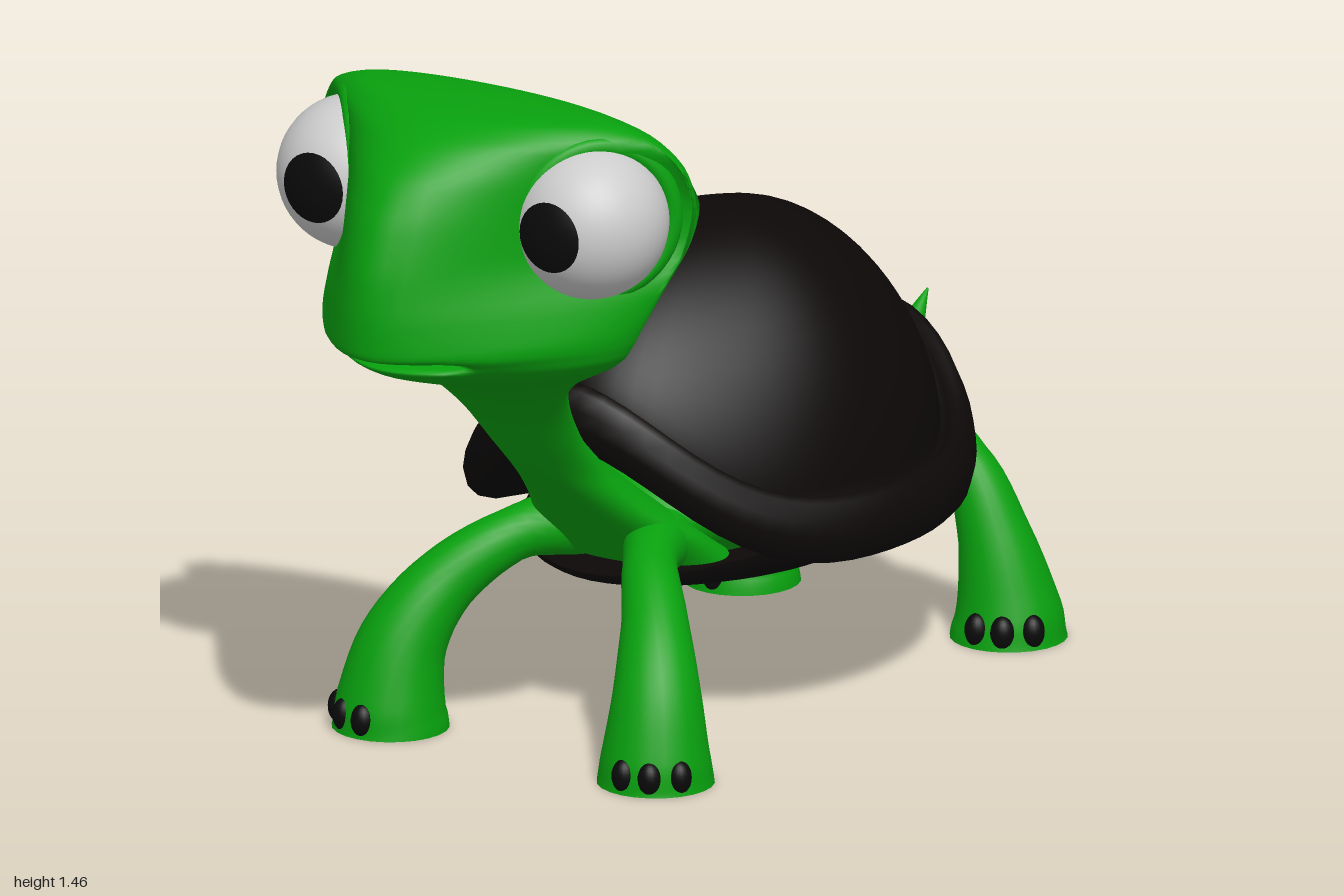
import * as THREE from 'three';

const mat = (color, side = THREE.FrontSide) => new THREE.MeshStandardMaterial({ color, side });
const green = mat(0x08a00e);
const shellMat = mat(0x0c0807, THREE.DoubleSide);
const black = mat(0x0a0a0a);
const eyeMat = mat(0xcccccc);
const V = (x, y, z) => new THREE.Vector3(x, y, z);
const { lerp } = THREE.MathUtils;

// Skin a list of closed rings (arrays of Vector3 with equal length)
function loft(rings) {
  const n = rings[0].length, index = [];
  for (let i = 0; i < rings.length - 1; i++) {
    for (let j = 0; j < n; j++) {
      const a = i * n + j, b = i * n + (j + 1) % n, c = a + n, d = b + n;
      index.push(a, c, b, b, c, d);
    }
  }
  const geo = new THREE.BufferGeometry().setFromPoints(rings.flat());
  geo.setIndex(index);
  geo.computeVertexNormals();
  return geo;
}

const ring = (n, f) => Array.from({ length: n }, (_, j) => f((j / n) * Math.PI * 2));
const capRing = (r, p) => r.map(() => p.clone());

// Tapered limb along a curve, closed with a flat end
function limb(points, radii, ref, steps = 28, n = 24) {
  const curve = new THREE.CatmullRomCurve3(points, false, 'centripetal');
  const rings = [];
  for (let i = 0; i <= steps; i++) {
    const t = i / steps, k = Math.min(t * (radii.length - 1), radii.length - 1.0001), m = Math.floor(k);
    const r = lerp(radii[m], radii[m + 1], k - m);
    const p = curve.getPoint(t), T = curve.getTangent(t);
    const N = ref.clone().addScaledVector(T, -T.dot(ref)).normalize();
    const B = N.clone().cross(T);
    rings.push(ring(n, a => {
      const q = p.clone().addScaledVector(N, r * Math.cos(a)).addScaledVector(B, r * Math.sin(a));
      q.y = i === steps && p.y < 0.01 ? 0 : Math.max(q.y, 0);
      return q;
    }));
  }
  const last = rings[rings.length - 1];
  rings.push(last.map(p => p.clone()), capRing(last, points[points.length - 1]));
  return loft(rings);
}

// Rounded wedge profile: 1 at u = 0, falling almost straight to 0 at u = 1
const wedge = u => 1 - (Math.hypot(u, 0.38) - 0.38) / (Math.hypot(1, 0.38) - 0.38);

// Head and neck: horizontal slices [y, zBack, zFront, halfWidth, zWidest, frontRoundness]
function headGeometry() {
  const rows = [
    [1.457, 0.53, 0.67, 0.18, 0.59, 1], [1.445, 0.48, 0.74, 0.31, 0.56, 0.6],
    [1.41, 0.43, 0.82, 0.40, 0.53, 0.2], [1.35, 0.38, 0.90, 0.45, 0.50, -0.3],
    [1.27, 0.345, 0.955, 0.47, 0.49, -0.65], [1.17, 0.32, 0.99, 0.445, 0.49, -0.5],
    [1.08, 0.335, 1.0, 0.405, 0.51, 0.05], [1.01, 0.365, 1.0, 0.38, 0.54, 0.3],
    [0.982, 0.38, 0.995, 0.37, 0.55, 0.35], [0.965, 0.385, 0.965, 0.362, 0.555, 0.4],
    [0.945, 0.39, 0.93, 0.35, 0.56, 0.45], [0.92, 0.395, 0.88, 0.32, 0.565, 0.5],
    [0.89, 0.405, 0.79, 0.265, 0.56, 0.6], [0.865, 0.41, 0.70, 0.22, 0.55, 0.8],
    [0.82, 0.41, 0.61, 0.165, 0.51, 1], [0.75, 0.38, 0.53, 0.13, 0.45, 1],
    [0.66, 0.30, 0.455, 0.105, 0.38, 1], [0.58, 0.20, 0.385, 0.10, 0.29, 1],
    [0.50, 0.10, 0.30, 0.135, 0.2, 1], [0.42, 0.0, 0.215, 0.19, 0.1, 1],
    [0.35, -0.1, 0.15, 0.21, 0.02, 1],
  ];
  const A = new THREE.CatmullRomCurve3(rows.map(r => V(r[0], r[1], r[2])), false, 'catmullrom', 0.4);
  const C = new THREE.CatmullRomCurve3(rows.map(r => V(r[3], r[4], r[5])), false, 'catmullrom', 0.4);
  const rings = [], steps = (rows.length - 1) * 4;
  for (let i = 0; i <= steps; i++) {
    const { x: y, y: zb, z: zf } = A.getPoint(i / steps);
    const { x: w, y: zw, z: round } = C.getPoint(i / steps);
    const backRound = Math.min(1, Math.abs(y - 0.96) * 4);
    const mouth = 0.1 * Math.exp(-(((y - 0.966) / 0.011) ** 2));
    rings.push(ring(72, a => {
      const u = Math.sin(a), c = Math.cos(a), x = w * u;
      if (c < 0) return V(x, y, zw - (zw - zb) * lerp(wedge(u), -c, backRound));
      const notch = mouth * Math.max(0, 1 - (x / 0.17) ** 4);
      return V(x, y, zw + (zf - zw) * lerp(wedge(u), c, round) - notch);
    }));
  }
  rings.unshift(capRing(rings[0], V(0, 1.459, 0.6)));
  return loft(rings);
}

// Domed shell with a rolled lip whose edge rises at the front and back
function shellGeometry() {
  const rimY = a => 0.42 + (Math.cos(a) > 0 ? 0.265 : 0.19) * Math.cos(a) ** 4;
  const rings = [], n = 64, cz = -0.265;
  for (let i = 0; i <= 18; i++) {
    const t = (i / 18) * Math.PI / 2, s = Math.sin(t), c = Math.max(0, Math.cos(t));
    rings.push(ring(n, a => {
      const base = rimY(a) + 0.045, h = c ** (1 + 0.5 * Math.cos(a) ** 2);
      return V(0.425 * s * Math.sin(a), base + (1.012 - base) * h, cz + 0.51 * s * Math.cos(a));
    }));
  }
  const lip = [[0.015, 0.065], [0.035, 0.08], [0.055, 0.07], [0.07, 0.035], [0.075, 0],
    [0.065, -0.04], [0.045, -0.06], [0.01, -0.066], [-0.05, -0.055], [-0.14, -0.045]];
  for (const [o, dy] of lip) {
    rings.push(ring(n, a => V((0.425 + o) * Math.sin(a), rimY(a) + dy, cz + (0.505 + o) * Math.cos(a))));
  }
  return loft(rings);
}

// Belly plate: shallow bowl whose sides climb to meet the shell
function bellyGeometry() {
  const rings = [];
  for (let i = 0; i <= 12; i++) {
    const t = (i / 12) * Math.PI / 2, s = Math.cos(t), h = Math.sin(t);
    rings.push(ring(56, a => {
      const top = 0.335 + 0.06 * Math.sin(a) ** 2;
      return V(0.365 * s * Math.sin(a), lerp(top, 0.242, h), -0.27 + (0.49 * s + 0.02 * h) * Math.cos(a) * s);
    }));
  }
  return loft(rings);
}

export function createModel() {
  const model = new THREE.Group();
  const add = (name, geo, material, pos, scale) => {
    const m = new THREE.Mesh(geo, material);
    m.name = name;
    if (pos) m.position.set(...pos);
    if (scale) m.scale.set(...scale);
    model.add(m);
    return m;
  };

  // Shell and belly plate
  add('shell', shellGeometry(), shellMat);
  add('bellyPlate', bellyGeometry(), shellMat);

  // Body, neck and head, tail
  add('body', new THREE.SphereGeometry(1, 40, 24), green, [0, 0.43, -0.31], [0.25, 0.14, 0.51]);
  add('headAndNeck', headGeometry(), green);
  add('tail', limb([V(0, 0.42, -0.65), V(0, 0.465, -0.8), V(0, 0.53, -0.9), V(0, 0.64, -1)],
    [0.13, 0.095, 0.045, 0.002], V(1, 0, 0)), green);

  const ball = new THREE.SphereGeometry(1, 20, 14);
  for (const s of [1, -1]) {
    const side = s > 0 ? 'left' : 'right';

    // Eye, pupil and eyelid
    const eyePos = [s * 0.298, 1.245, 0.608];
    add(side + 'Eye', new THREE.SphereGeometry(0.162, 40, 28), eyeMat, eyePos);
    const pupil = add(side + 'Pupil', new THREE.SphereGeometry(0.165, 32, 8, 0, Math.PI * 2, 0, 0.47), black, eyePos);
    pupil.rotation.x = Math.PI / 2;
    const lid = add(side + 'Eyelid', new THREE.TorusGeometry(0.157, 0.021, 14, 44), green,
      [s * 0.316, 1.25, 0.606]);
    lid.rotation.y = s * 0.85;

    // Legs
    const legs = {
      FrontLeg: [[[0.1, 0.4, 0.08], [0.17, 0.39, 0.22], [0.265, 0.3, 0.335], [0.32, 0.18, 0.405],
        [0.335, 0.05, 0.43], [0.335, 0, 0.43]], [0.075, 0.055, 0.07, 0.092, 0.115, 0.122]],
      BackLeg: [[[0.05, 0.43, -0.7], [0.14, 0.42, -0.785], [0.24, 0.36, -0.8], [0.305, 0.22, -0.805],
        [0.337, 0.05, -0.815], [0.337, 0, -0.815]], [0.075, 0.06, 0.052, 0.075, 0.113, 0.122]],
    };
    for (const [part, [path, radii]] of Object.entries(legs)) {
      add(side + part, limb(path.map(([x, y, z]) => V(s * x, y, z)), radii, V(0, 0, 1)), green);
      // Claws fan outward from the front of the foot
      const [fx, , fz] = path[5];
      [-0.05, 0.5, 1.1].forEach((a, i) => {
        const claw = add(`${side}${part}Claw${i + 1}`, ball, black,
          [s * (fx + 0.105 * Math.sin(a)), 0.037, fz + 0.105 * Math.cos(a)], [0.026, 0.036, 0.026]);
        claw.rotation.y = s * a;
      });
    }
  }
  return model;
}
